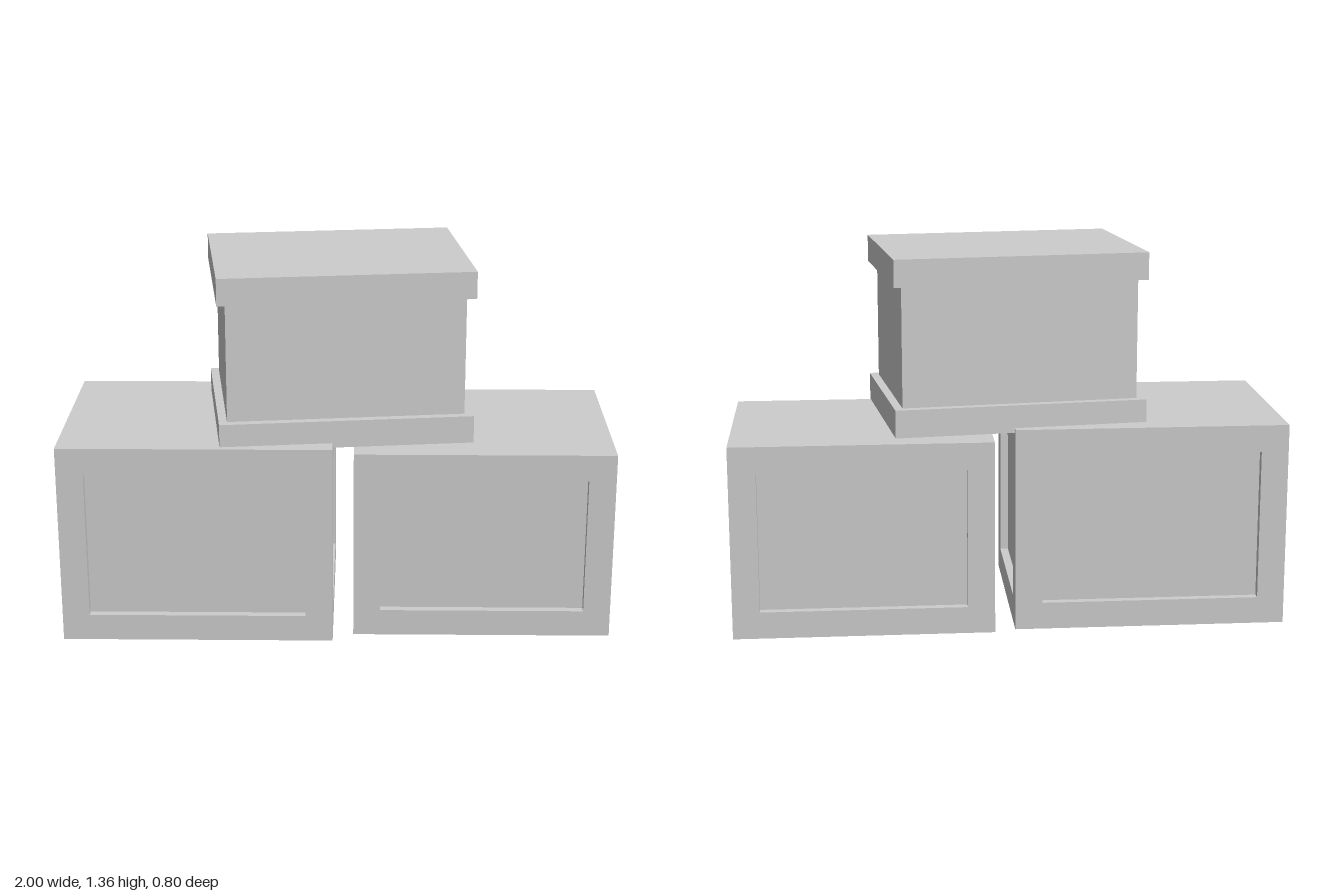
import * as THREE from 'three';

const stone = new THREE.MeshStandardMaterial({ color: 0xcccccc });
stone.name = 'light grey';

function box(name, w, h, d, x, y, z) {
  const mesh = new THREE.Mesh(new THREE.BoxGeometry(w, h, d), stone);
  mesh.name = name;
  mesh.position.set(x, y, z);
  return mesh;
}

// Flat side frame with a rectangular opening and a recessed panel; faces +z, back at z = 0
function framedSide(w, h, margin, depth) {
  const side = new THREE.Group();
  const a = w / 2, b = h / 2, m = margin;
  const rect = (T, x, y) => new T([
    new THREE.Vector2(-x, -y), new THREE.Vector2(x, -y),
    new THREE.Vector2(x, y), new THREE.Vector2(-x, y)]);
  const shape = rect(THREE.Shape, a, b);
  shape.holes.push(rect(THREE.Path, a - m, b - m));
  const frame = new THREE.Mesh(
    new THREE.ExtrudeGeometry(shape, { depth, bevelEnabled: false }), stone);
  frame.name = 'sideFrame';
  side.add(frame);
  return side;
}

// Crate with recessed panels on its four sides
function crate(name, x0, x1, h, z0, z1) {
  const g = new THREE.Group();
  g.name = name;
  const w = x1 - x0, d = z1 - z0, inset = 0.03, margin = 0.098;
  g.position.set((x0 + x1) / 2, h / 2, (z0 + z1) / 2);
  g.add(box('crateCore', w - 2 * inset, h, d - 2 * inset, 0, 0, 0));
  for (let i = 0; i < 4; i++) {
    const facesZ = i % 2 === 0;
    // the side frames fit between the front and back frames
    const side = framedSide(facesZ ? w : d - 2 * inset, h, facesZ ? margin : margin - inset, inset);
    // keep the vertical margin equal on all sides
    if (!facesZ) {
      side.clear();
      const s = new THREE.Shape();
      const a = d / 2 - inset, b = h / 2, p = d / 2 - margin, q = b - margin;
      s.moveTo(-a, -b).lineTo(a, -b).lineTo(a, b).lineTo(-a, b).closePath();
      const hole = new THREE.Path();
      hole.moveTo(-p, -q).lineTo(-p, q).lineTo(p, q).lineTo(p, -q).closePath();
      s.holes.push(hole);
      const frame = new THREE.Mesh(
        new THREE.ExtrudeGeometry(s, { depth: inset, bevelEnabled: false }), stone);
      frame.name = 'sideFrame';
      side.add(frame);
    }
    side.name = ['frontSide', 'leftSide', 'backSide', 'rightSide'][i];
    const angle = i * Math.PI / 2, r = (facesZ ? d : w) / 2 - inset;
    side.rotation.y = angle;
    side.position.set(Math.sin(angle) * r, 0, Math.cos(angle) * r);
    g.add(side);
  }
  return g;
}

export function createModel() {
  const model = new THREE.Group();
  model.name = 'crateStack';

  // Two lower crates
  model.add(crate('tallCrate', -1, -0.015, 0.743, -0.375, 0.398));
  model.add(crate('shortCrate', 0.06, 1, 0.706, -0.4, 0.343));

  // Turned upper crate with a rim at the base and a lid
  const top = new THREE.Group();
  top.name = 'upperCrate';
  top.position.set(-0.003, 0, -0.01);
  top.rotation.y = 0.121;
  top.add(box('baseRim', 0.912, 0.1, 0.665, 0, 0.776, 0));
  top.add(box('upperBody', 0.852, 0.434, 0.603, 0, 1.043, 0));
  top.add(box('lid', 0.912, 0.098, 0.665, 0, 1.309, 0));
  model.add(top);

  return model;
}
